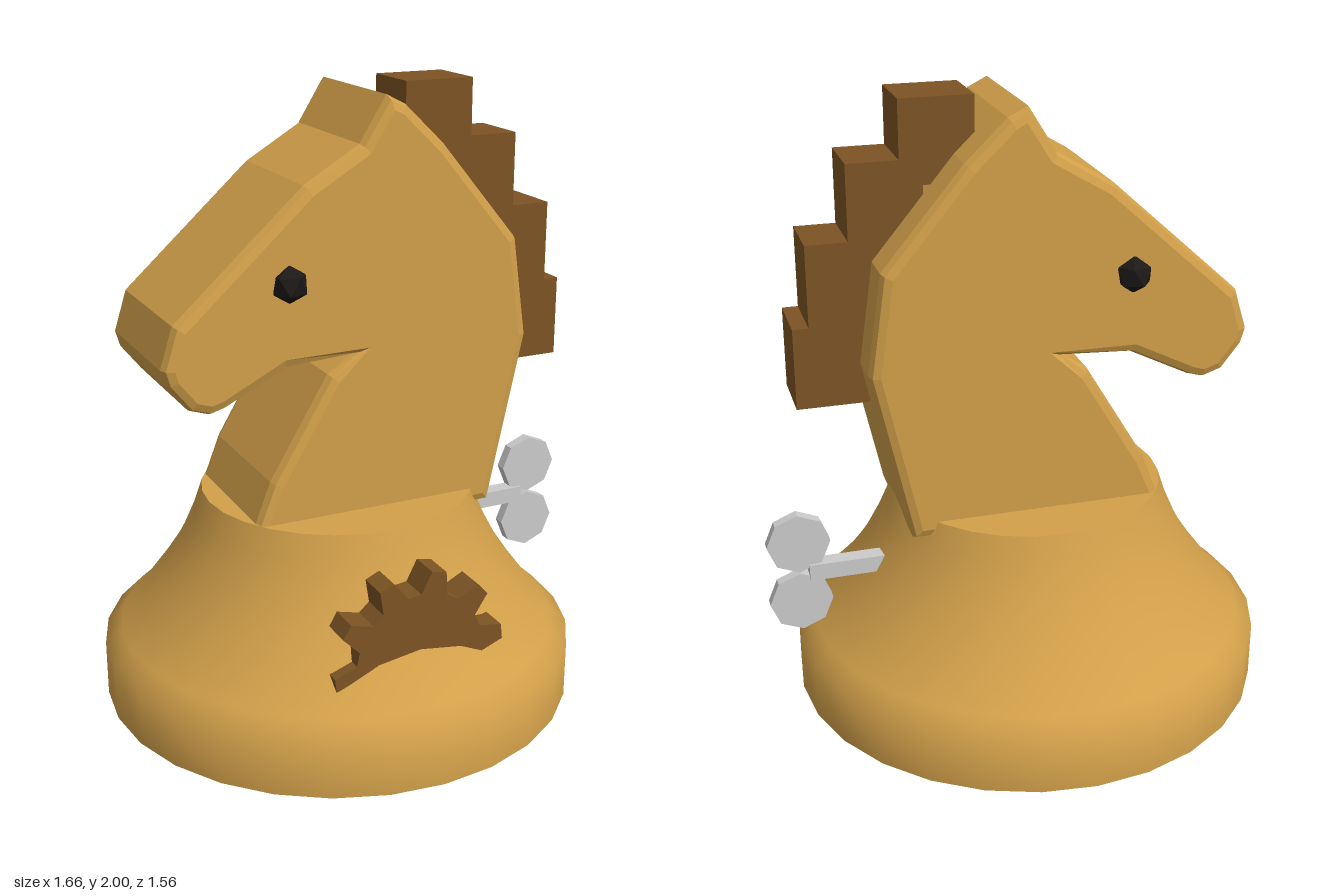
import * as THREE from 'three';
import { toCreasedNormals } from 'three/addons/utils/BufferGeometryUtils.js';

const mat = (color) => new THREE.MeshStandardMaterial({ color });
const vecs = (pts) => pts.map(([x, y]) => new THREE.Vector2(x, y));

export function createModel() {
  const model = new THREE.Group();
  const wood = mat(0xd2a04a), darkWood = mat(0x7d5424), black = mat(0x1c1917), metal = mat(0xcccccc);

  const add = (name, geometry, material, x = 0, y = 0, z = 0, parent = model) => {
    const mesh = new THREE.Mesh(geometry, material);
    mesh.name = name;
    mesh.position.set(x, y, z);
    parent.add(mesh);
    return mesh;
  };
  const group = (name) => {
    const g = new THREE.Group();
    g.name = name;
    model.add(g);
    return g;
  };

  // Turned base with a concave flare
  const profile = vecs([[0, 0], [0.78, 0], [0.78, 0.185], [0.725, 0.235], [0.66, 0.305], [0.6, 0.385],
    [0.55, 0.46], [0.505, 0.545], [0.47, 0.625], [0.445, 0.7], [0, 0.7]]);
  add('base', toCreasedNormals(new THREE.LatheGeometry(profile, 28), 0.9), wood, -0.05);

  // Head and neck: side outline, extruded with a soft bevel
  const outline = vecs([[0.025, 1.94], [-0.05, 1.82], [-0.235, 1.71], [-0.64, 1.345], [-0.675, 1.235],
    [-0.665, 1.2], [-0.61, 1.13], [-0.565, 1.115], [-0.53, 1.125], [-0.33, 1.225], [-0.05, 1.228],
    [-0.155, 1.13], [-0.345, 0.815], [-0.405, 0.675], [0.36, 0.675], [0.475, 1.2], [0.43, 1.505],
    [0.18, 1.805], [0.055, 1.925]]);
  const bevel = 0.035, half = 0.257;
  add('head', new THREE.ExtrudeGeometry(new THREE.Shape(outline), {
    depth: 2 * (half - bevel), bevelEnabled: true, bevelSize: 0.033, bevelThickness: bevel, bevelSegments: 2,
  }), wood, 0, 0, bevel - half);

  // Stepped mane: [right edge, top]
  const mane = group('mane');
  for (const [right, top] of [[0.37, 2], [0.53, 1.82], [0.66, 1.585], [0.71, 1.327]]) {
    add('maneBlock', new THREE.BoxGeometry(0.23, 0.26, 0.206), darkWood, right - 0.115, top - 0.13, 0, mane);
  }

  // Faceted eyes, one point upwards
  const eye = new THREE.IcosahedronGeometry(0.06);
  eye.rotateX(-Math.atan((1 + Math.sqrt(5)) / 2)).rotateY(Math.PI / 2);
  add('leftEye', eye, black, -0.315, 1.455, 0.253);
  add('rightEye', eye, black, -0.315, 1.455, -0.253);

  // Ten-toothed gear, half sunk into the base
  const gearPts = [];
  for (let i = 0; i < 10; i++) {
    for (const [r, offset] of [[0.215, -12], [0.285, -5], [0.285, 5], [0.215, 12]]) {
      const a = THREE.MathUtils.degToRad(i * 36 + 6 + offset);
      gearPts.push([r * Math.cos(a), r * Math.sin(a)]);
    }
  }
  add('gear', new THREE.ExtrudeGeometry(new THREE.Shape(vecs(gearPts)), { depth: 0.1, bevelEnabled: false }),
    darkWood, -0.05, 0.34, 0.51);

  // Winding key: square shaft and two eight-sided wings
  const key = group('windingKey');
  add('keyShaft', new THREE.BoxGeometry(0.3, 0.055, 0.055), metal, 0.55, 0.494, -0.078, key);
  const wing = toCreasedNormals(new THREE.CylinderGeometry(0.102, 0.102, 0.037, 8).rotateX(Math.PI / 2), 0.3);
  for (const y of [0.599, 0.391]) add('keyWing', wing, metal, 0.73, y, -0.078, key);

  return model;
}
